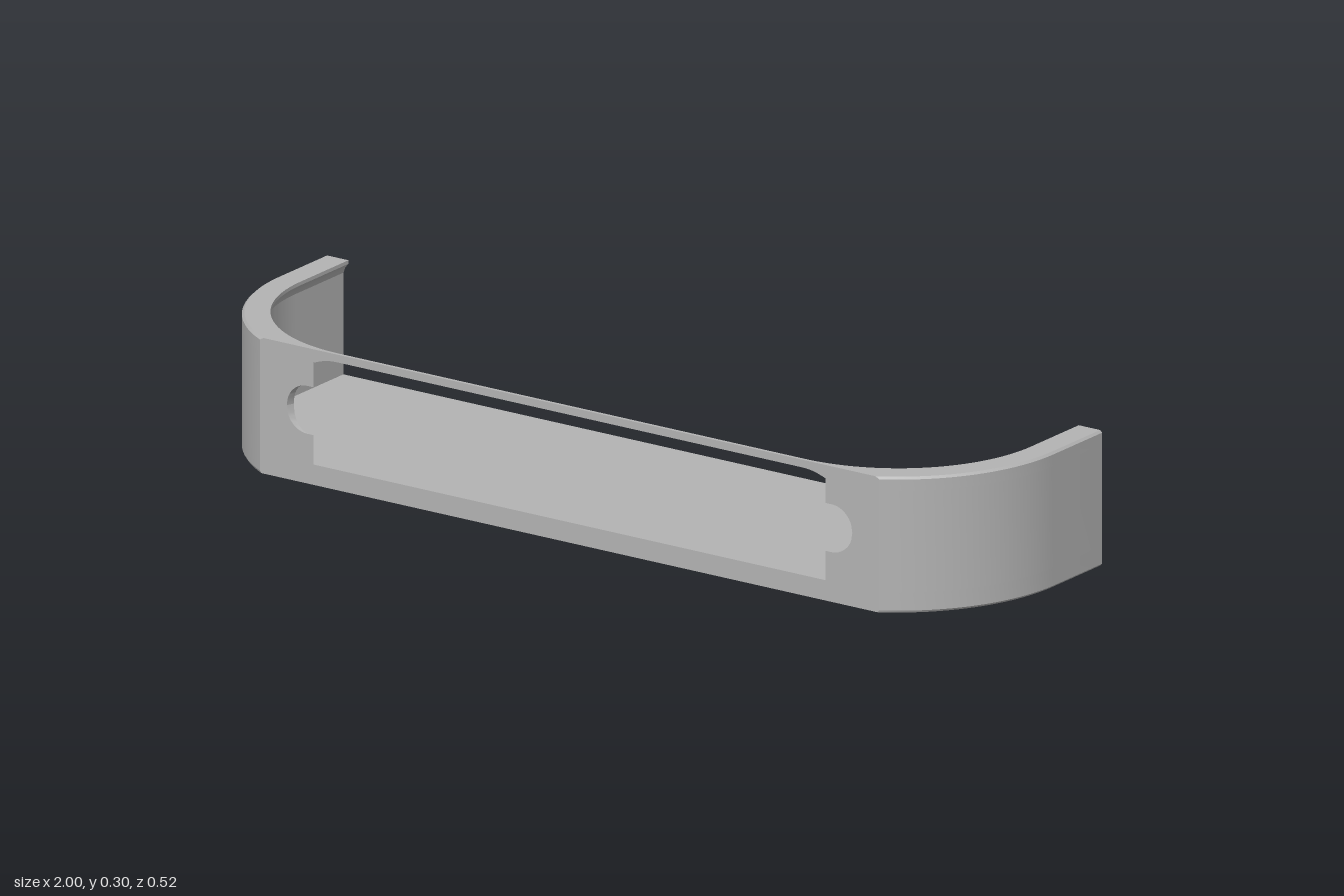
import * as THREE from 'three';
import { toCreasedNormals } from 'three/addons/utils/BufferGeometryUtils.js';

// Plan: rounded corners about (CX, CZ), cut flat at the front
const CX = 0.6, CZ = -0.088, BACK = -0.262, FRONT = 0.26;
const R_OUT = 0.4, R_WALL = 0.353, R_LIP = 0.34;
const FLOOR = 0.045, LIP_Y = 0.27, TOP = 0.3, BEVEL = 0.005;
const SLOT_Y = 0.163, SLOT_R = 0.053, SLOT_X = 0.675;

// A station is a base point, an outward direction and the outer radius there
function corner(t) {
  const flat = (FRONT - CZ) / Math.max(Math.sin(t), 1e-6);
  return { x: CX, z: CZ, dx: Math.cos(t), dz: Math.sin(t), out: Math.min(R_OUT, flat) };
}
const backEnd = { ...corner(0), z: BACK };
const frontMiddle = { x: 0, z: CZ, dx: 0, dz: 1, out: FRONT - CZ };

function arc(t0, t1, n) {
  return Array.from({ length: n + 1 }, (_, i) => corner(t0 + (t1 - t0) * i / n));
}
const angleAtX = (x) => Math.atan2(FRONT - CZ, x - CX);

// Joins [radius, height] sections along the stations; side = -1 mirrors
function loft(stations, section, side) {
  const pos = [], idx = [];
  let n = 0;
  for (const s of stations) {
    const pts = section(s);
    n = pts.length;
    for (const [r, y] of pts) pos.push(side * (s.x + s.dx * r), y, s.z + s.dz * r);
  }
  const tri = (a, b, c) => (side > 0 ? idx.push(a, b, c) : idx.push(a, c, b));
  const last = (stations.length - 1) * n;
  for (let i = 0; i < last; i += n) {
    for (let j = 0; j < n; j++) {
      const k = (j + 1) % n;
      tri(i + j, i + k, i + n + k);
      tri(i + j, i + n + k, i + n + j);
    }
  }
  for (let j = 1; j < n - 1; j++) {
    tri(0, j + 1, j);
    tri(last, last + j, last + j + 1);
  }
  const geo = new THREE.BufferGeometry();
  geo.setAttribute('position', new THREE.Float32BufferAttribute(pos, 3));
  geo.setIndex(idx);
  return toCreasedNormals(geo, 0.5);
}

// Rectangular wall section between two heights
const wall = (low, high) => (s) => {
  const inner = Math.min(R_WALL, s.out), y0 = low(s), y1 = high(s);
  return [[s.out, y0], [s.out, y1], [inner, y1], [inner, y0]];
};

// Half height of the round-ended slot at a station on the front face
function slotHalf(s) {
  const d = Math.max(0, s.x + s.dx * s.out - SLOT_X);
  return Math.sqrt(Math.max(0, SLOT_R ** 2 - d ** 2));
}

// Rim lip with a sloping underside
function lipSection(s) {
  const c = s.out === R_OUT ? BEVEL : 0;
  const point = (r) => {
    const rr = Math.min(r, s.out);
    return [rr, LIP_Y + (R_WALL - rr) * 2.6];
  };
  const base = s.out < R_WALL ? point(s.out)[1] : LIP_Y;
  return [[s.out, base], [s.out, TOP - c], [s.out - c, TOP], [R_LIP, TOP],
    [R_LIP, 0.292], point(0.348), point(R_WALL)];
}

// Horizontal slab with the outer plan
function slab(y, height) {
  const end = Math.asin((FRONT - CZ) / R_OUT);
  const half = [backEnd, ...arc(0, end, 28)].map((s) => [s.x + s.dx * R_OUT, s.z + s.dz * R_OUT]);
  const all = [...half, ...half.map(([x, z]) => [-x, z]).reverse()];
  const shape = new THREE.Shape(all.map(([x, z]) => new THREE.Vector2(x, -z)));
  const geo = new THREE.ExtrudeGeometry(shape, { depth: height, bevelEnabled: false });
  return geo.rotateX(-Math.PI / 2).translate(0, y, 0);
}

export function createModel() {
  const group = new THREE.Group();
  const grey = new THREE.MeshStandardMaterial({ color: 0xb3b3b3 });
  grey.name = 'plain grey';
  const add = (name, geo) => {
    const mesh = new THREE.Mesh(geo, grey);
    mesh.name = name;
    group.add(mesh);
  };

  // Floor with a small bevel under its ends
  add('floor', toCreasedNormals(slab(BEVEL, FLOOR - BEVEL), 0.5));
  const bevel = slab(0, BEVEL);
  const p = bevel.attributes.position;
  for (let i = 0; i < p.count; i++) {
    if (p.getY(i) < 0.001) p.setX(i, p.getX(i) * (1 - BEVEL));
  }
  add('floorBevel', toCreasedNormals(bevel, 0.5));

  const slotEnd = angleAtX(SLOT_X + SLOT_R);
  const wallEnd = Math.asin((FRONT - CZ) / R_WALL);
  const cut = Math.asin((FRONT - CZ) / R_OUT);
  const cornerRun = [backEnd, ...arc(0, cut, 28)];
  const floorY = () => FLOOR, lipY = () => LIP_Y;

  for (const [side, label] of [[1, 'left'], [-1, 'right']]) {
    // Curved side wall up to the slot
    add(label + 'Wall', loft([...cornerRun, ...arc(cut, slotEnd, 8).slice(1)], wall(floorY, lipY), side));
    // Thin wall edges below and above the slot
    const tip = arc(slotEnd, wallEnd, 24);
    add(label + 'LowerEdge', loft(tip, wall(floorY, (s) => SLOT_Y - slotHalf(s)), side));
    add(label + 'UpperEdge', loft(tip, wall((s) => SLOT_Y + slotHalf(s), lipY), side));
    // Lip that narrows into the front bar
    const run = [...cornerRun, ...arc(cut, Math.PI / 2, 24).slice(1), frontMiddle];
    add(label + 'Lip', loft(run, lipSection, side));
  }
  return group;
}
